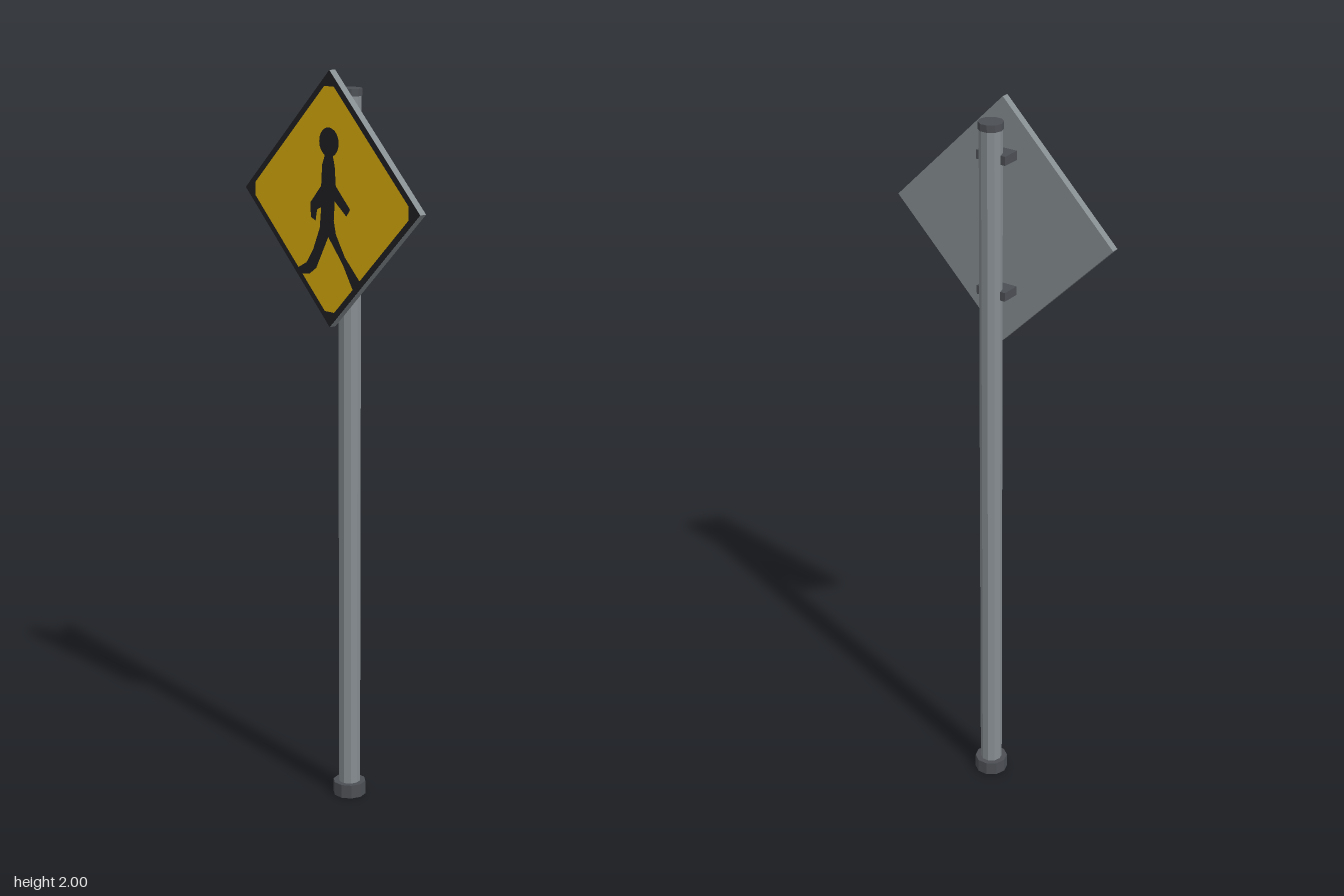
import * as THREE from 'three';

const mat = (name, color) => {
  const m = new THREE.MeshStandardMaterial({ color });
  m.name = name;
  return m;
};

export function createModel() {
  const steel = mat('steel', 0x868d91);
  const darkMetal = mat('dark metal', 0x4c4f54);
  const yellow = mat('sign yellow', 0xe2b40f);
  const black = mat('sign black', 0x222225);
  steel.flatShading = false;

  const model = new THREE.Group();
  model.name = 'crossingSign';
  const add = (name, geometry, material, x, y, z) => {
    const mesh = new THREE.Mesh(geometry, material);
    mesh.name = name;
    mesh.position.set(x, y, z);
    model.add(mesh);
    return mesh;
  };

  const POLE_Z = -0.016, SIGN_Y = 1.667, HALF = 0.333;

  // Ten-sided upright parts with a flat side facing the back
  const tube = (name, r, y0, y1, material) => {
    const g = new THREE.CylinderGeometry(r, r, y1 - y0, 10, 1, false, Math.PI / 10).toNonIndexed();
    g.computeVertexNormals();
    add(name, g, material, 0, (y0 + y1) / 2, POLE_Z);
  };
  tube('pole', 0.03, 0.002, 1.94, steel);
  tube('baseCollar', 0.045, 0, 0.038, darkMetal);
  tube('poleCap', 0.033, 1.931, 1.95, darkMetal);

  // Brackets joining pole and plate
  for (const [name, y] of [['upperBracket', 1.855], ['lowerBracket', 1.487]])
    add(name, new THREE.BoxGeometry(0.088, 0.024, 0.053), darkMetal, 0, y, 0.0095);

  // Diamond plate
  const side = HALF * Math.SQRT2;
  add('signPlate', new THREE.BoxGeometry(side, side, 0.02), steel, 0, SIGN_Y, 0.045)
    .rotation.z = Math.PI / 4;

  // Painted faces, layered in front of the plate
  const polygon = pts => new THREE.Shape(pts.map(p => new THREE.Vector2(...p)));
  const paint = (name, shape, material, z) =>
    add(name, new THREE.ShapeGeometry(shape, 10), material, 0, SIGN_Y, z);

  paint('signBorder', polygon([[HALF, 0], [0, HALF], [-HALF, 0], [0, -HALF]]), black, 0.0555);

  // Yellow field with blunted corners
  const a = 0.292, b = 0.018;
  paint('signField', polygon([
    [a, -b], [a, b], [b, a], [-b, a], [-a, b], [-a, -b], [-b, -a], [b, -a],
  ]), yellow, 0.0563);

  // Walking figure: head, then body with arms and legs
  const head = new THREE.Shape().absellipse(0, 0.15, 0.037, 0.038, 0, Math.PI * 2);
  paint('figureHead', head, black, 0.057);
  paint('figureBody', polygon([
    [-0.014, 0.12], [0.014, 0.12], [0.022, 0.09], [0.026, 0.04], [0.08, -0.015],
    [0.066, -0.034], [0.022, 0], [0.018, -0.05], [0.026, -0.085], [0.06, -0.14],
    [0.118, -0.198], [0.09, -0.222], [0.052, -0.16], [-0.003, -0.095],
    [-0.03, -0.145], [-0.05, -0.182], [-0.075, -0.2], [-0.108, -0.205], [-0.122, -0.19],
    [-0.088, -0.172], [-0.062, -0.135], [-0.036, -0.075], [-0.03, -0.02],
    [-0.046, -0.028], [-0.052, -0.058], [-0.07, -0.05], [-0.072, -0.012],
    [-0.03, 0.035], [-0.026, 0.09],
  ]), black, 0.057);

  return model;
}
